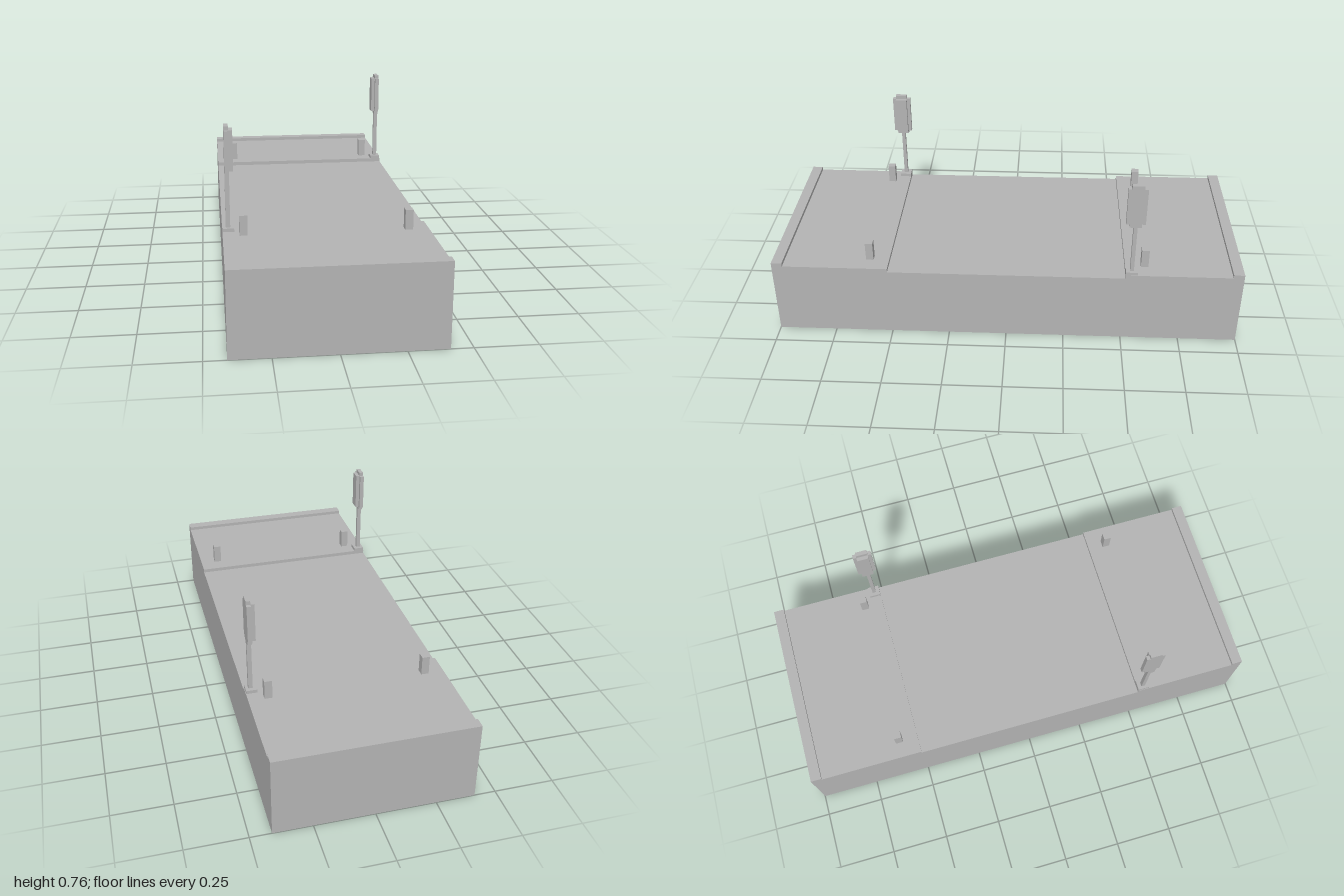
import * as THREE from 'three';

const grey = new THREE.MeshStandardMaterial({ color: 0xb3b3b3 });
grey.name = 'concrete grey';

// Box given by its min and max along each axis
function block(name, [x0, x1], [y0, y1], [z0, z1]) {
  const geo = new THREE.BoxGeometry(x1 - x0, y1 - y0, z1 - z0);
  geo.translate((x0 + x1) / 2, (y0 + y1) / 2, (z0 + z1) / 2);
  const mesh = new THREE.Mesh(geo, grey);
  mesh.name = name;
  return mesh;
}

// Slab with a low middle, raised end decks and a lip at each end
function createSlab() {
  const half = [[1, 0], [1, 0.347], [0.954, 0.347], [0.954, 0.332], [0.505, 0.332], [0.505, 0.316]];
  const mirrored = half.map(([z, y]) => [-z, y]).reverse();
  const shape = new THREE.Shape([...half, ...mirrored].map(([z, y]) => new THREE.Vector2(z, y)));
  const geo = new THREE.ExtrudeGeometry(shape, { depth: 0.824, bevelEnabled: false });
  geo.translate(0, 0, -0.412);
  geo.rotateY(-Math.PI / 2);
  const mesh = new THREE.Mesh(geo, grey);
  mesh.name = 'slab';
  return mesh;
}

// Signal at the -x, +z corner, its lamp box facing inwards
function createSignal() {
  const signal = new THREE.Group();
  signal.name = 'signal';
  const z = 0.53;
  const across = (h) => [z - h, z + h];
  const thick = [-0.398, -0.38];
  signal.add(
    block('signalBase', [-0.41, -0.365], [0.32, 0.346], across(0.025)),
    block('signalPole', thick, [0.33, 0.57], across(0.008)),
    block('signalBackPlate', thick, [0.58, 0.745], across(0.04)),
    block('signalPlateTop', thick, [0.745, 0.761], across(0.025)),
    block('signalPlateBottom', thick, [0.564, 0.58], across(0.025)),
    block('signalLampBox', [-0.38, -0.364], [0.58, 0.745], across(0.025)),
  );
  return signal;
}

export function createModel() {
  const model = new THREE.Group();
  model.name = 'platform';
  model.add(createSlab());

  // Signals at two opposite corners
  for (const turn of [0, Math.PI]) {
    const signal = createSignal();
    signal.rotation.y = turn;
    model.add(signal);
  }

  // Four short posts on the end decks
  for (const x of [-0.33, 0.33]) {
    for (const z of [-0.588, 0.588]) {
      model.add(block('post', [x - 0.016, x + 0.016], [0.33, 0.414], [z - 0.016, z + 0.016]));
    }
  }
  return model;
}
